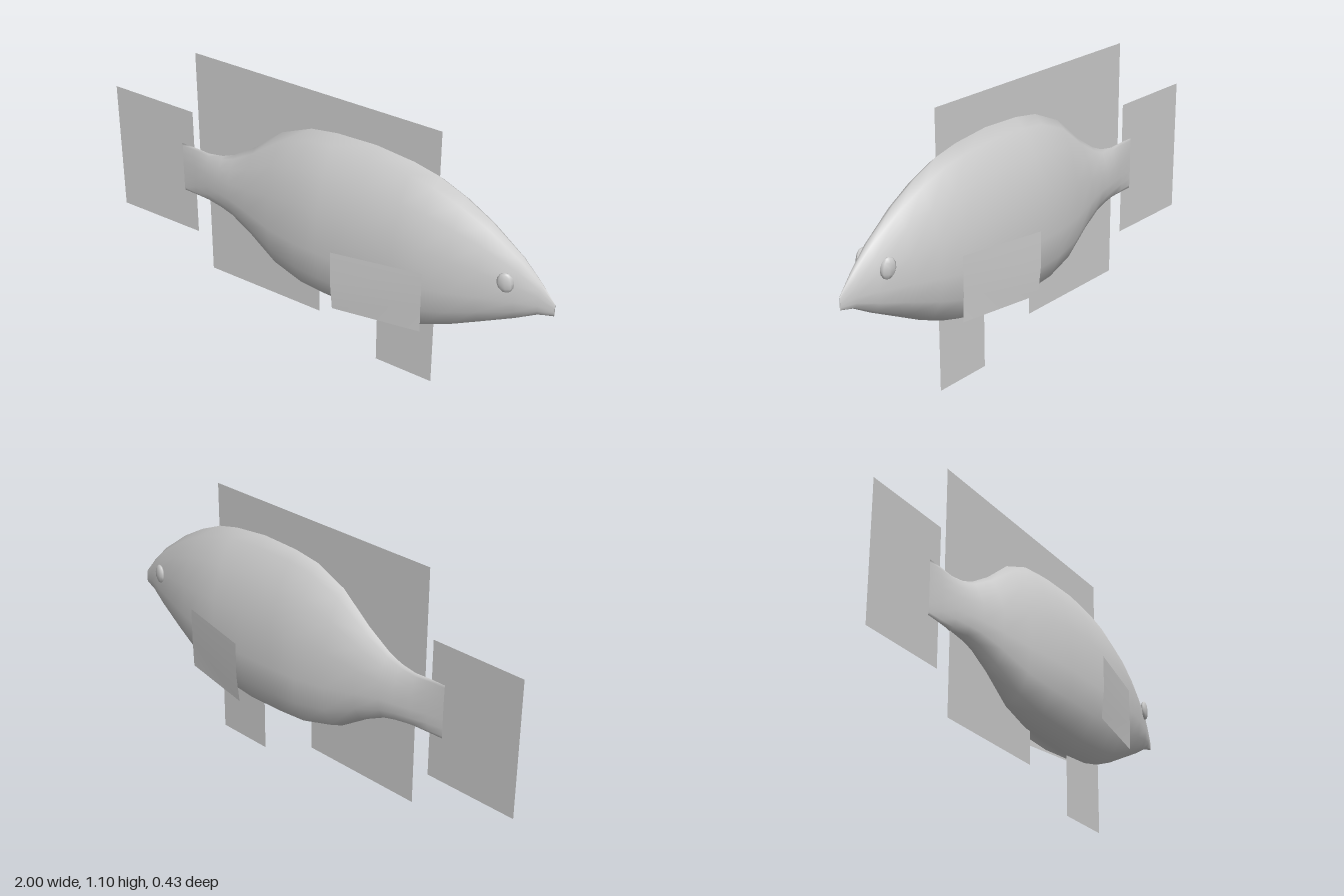
import * as THREE from 'three';

const grey = new THREE.MeshStandardMaterial({ color: 0xcccccc, side: THREE.DoubleSide });
grey.name = 'pale grey';

// Body stations from tail to nose: x, top y, bottom y, half width
const STATIONS = [
  [-0.665, 0.672, 0.455, 0.002], [-0.6, 0.672, 0.453, 0.011], [-0.53, 0.668, 0.45, 0.025],
  [-0.46, 0.68, 0.443, 0.04], [-0.4, 0.705, 0.43, 0.054], [-0.3, 0.77, 0.38, 0.078],
  [-0.17, 0.877, 0.295, 0.109], [-0.035, 0.935, 0.257, 0.132], [0.08, 0.952, 0.25, 0.142],
  [0.25, 0.957, 0.245, 0.146], [0.41, 0.94, 0.26, 0.142], [0.51, 0.917, 0.285, 0.134],
  [0.62, 0.87, 0.33, 0.116], [0.73, 0.807, 0.385, 0.09], [0.86, 0.71, 0.45, 0.052],
  [0.94, 0.63, 0.495, 0.023], [0.998, 0.56, 0.51, 0.002],
];
// Half cross-section: height fraction, width fraction
const HALF = [[1, 0], [0.95, 0.28], [0.81, 0.64], [0.61, 0.95], [0.36, 1], [0.19, 0.91], [0.05, 0.57], [0, 0]];
const RING = [...HALF, ...HALF.slice(1, -1).reverse().map(([t, w]) => [t, -w])];

function gridGeometry(points, cols, rows, wrap) {
  const index = [];
  for (let i = 0; i < cols - 1; i++) {
    for (let j = 0; j < (wrap ? rows : rows - 1); j++) {
      const k = (j + 1) % rows;
      const a = i * rows + j, b = a + rows, c = i * rows + k, d = c + rows;
      index.push(a, c, b, b, c, d);
    }
  }
  const g = new THREE.BufferGeometry();
  g.setAttribute('position', new THREE.Float32BufferAttribute(points.flat(), 3));
  g.setIndex(index);
  g.computeVertexNormals();
  return g;
}

function add(group, name, geometry) {
  const mesh = new THREE.Mesh(geometry, grey);
  mesh.name = name;
  group.add(mesh);
  return mesh;
}

export function createModel() {
  const fish = new THREE.Group();
  fish.name = 'fish';

  // Smooth lofted body
  const points = STATIONS.flatMap(([x, top, bottom, w]) =>
    RING.map(([t, s]) => [x, bottom + (top - bottom) * t, w * s]));
  add(fish, 'body', gridGeometry(points, STATIONS.length, RING.length, true));

  // Flat fins on the centre plane: x range, y range
  const fins = [
    ['dorsalFin', -0.575, 0.515, 0.62, 1.095],
    ['analFin', -0.535, 0, 0.12, 0.48],
    ['pelvicFin', 0.27, 0.52, 0, 0.3],
    ['tailFin', -1, -0.605, 0.275, 0.83],
  ];
  for (const [name, x0, x1, y0, y1] of fins) {
    add(fish, name, new THREE.PlaneGeometry(x1 - x0, y1 - y0))
      .position.set((x0 + x1) / 2, (y0 + y1) / 2, 0);
  }

  for (const side of [1, -1]) {
    const label = side > 0 ? 'left' : 'right';
    // Side fin, flaring out towards the tail
    const fin = [];
    for (const [x, z] of [[0.195, 0.213], [0.54, 0.141]]) {
      fin.push([x, 0.59, side * z], [x, 0.45, side * z], [x, 0.333, side * (x < 0.3 ? 0.2 : 0.138)]);
    }
    add(fish, label + 'SideFin', gridGeometry(fin, 2, 3, false));

    // Eye, flattened against the head
    const eye = add(fish, label + 'Eye', new THREE.SphereGeometry(1, 8, 6));
    eye.scale.set(0.032, 0.041, 0.014);
    eye.position.set(0.83, 0.623, side * 0.063);
    eye.rotation.set(0, side * 0.27, 0.15);
  }
  return fish;
}
